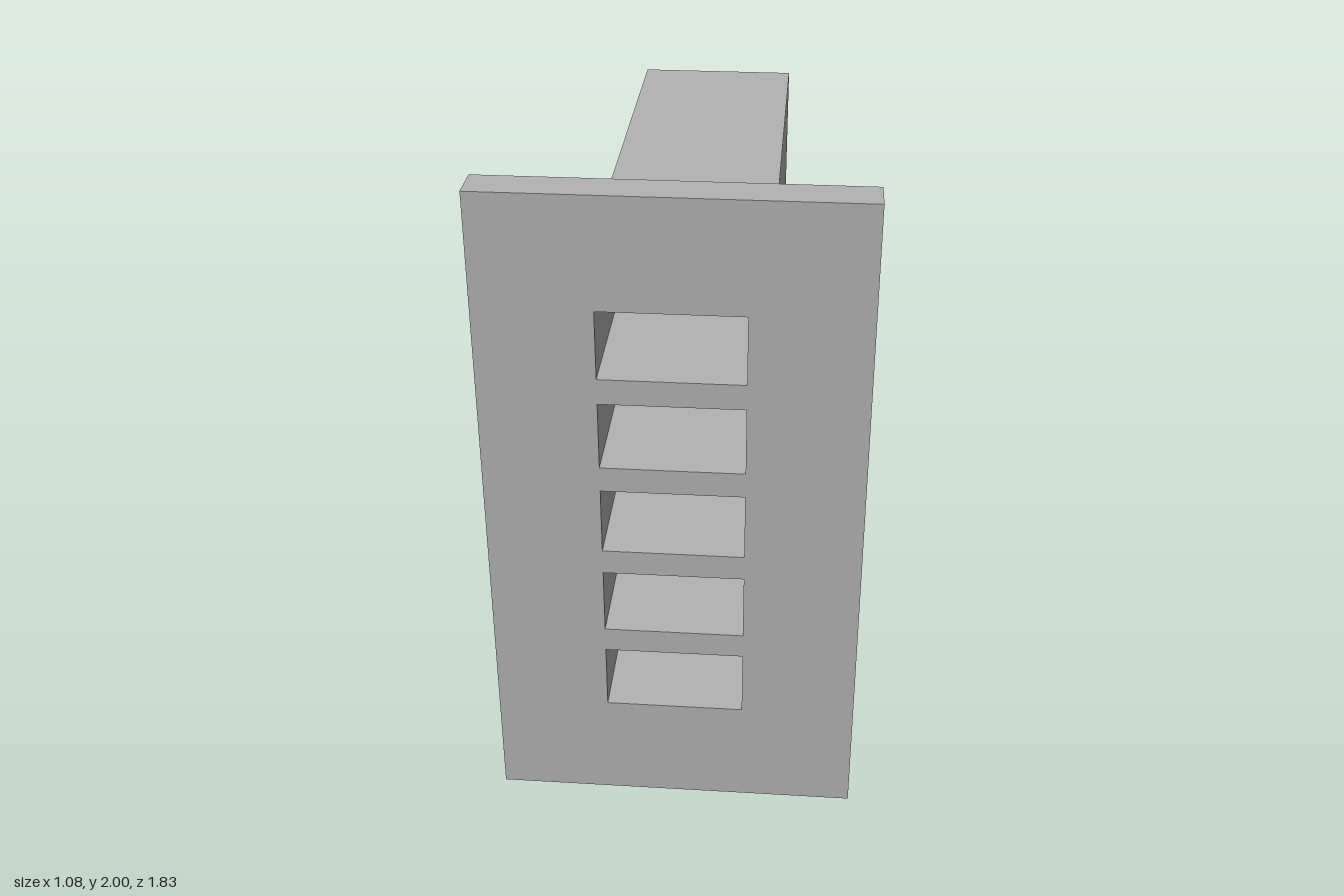
import * as THREE from 'three';

const SLOT_W = 0.407, SLOT_H = 0.205, SLOT_PITCH = 0.282, SLOT_COUNT = 5, MID_Y = 1.003;

// Rectangle outline, counter-clockwise, centred on (cx, cy)
function rectPoints(cx, cy, w, h) {
  return [[-1, -1], [1, -1], [1, 1], [-1, 1]].map(
    ([sx, sy]) => new THREE.Vector2(cx + sx * w / 2, cy + sy * h / 2));
}

// Slab pierced by the column of slots, running from z0 to z1
function slottedSlab(cx, cy, w, h, z0, z1) {
  const shape = new THREE.Shape(rectPoints(cx, cy, w, h));
  for (let i = 0; i < SLOT_COUNT; i++) {
    const y = MID_Y + (i - (SLOT_COUNT - 1) / 2) * SLOT_PITCH;
    shape.holes.push(new THREE.Path(rectPoints(-0.001, y, SLOT_W, SLOT_H).reverse()));
  }
  const geometry = new THREE.ExtrudeGeometry(shape, { depth: z1 - z0, bevelEnabled: false });
  return geometry.translate(0, 0, z0);
}

export function createModel() {
  const model = new THREE.Group();
  model.name = 'slottedHousing';
  const grey = new THREE.MeshStandardMaterial({ color: 0xb3b3b3 });
  grey.name = 'grey';

  const add = (name, geometry) => {
    const mesh = new THREE.Mesh(geometry, grey);
    mesh.name = name;
    model.add(mesh);
  };

  // Wide front plate with five openings
  add('facePlate', slottedSlab(0, 1, 1.075, 2, 0.802, 0.915));
  // Narrow deep body, the slots continue through it
  add('body', slottedSlab(-0.001, MID_Y, 0.512, 1.436, -0.863, 0.802));
  // Solid rear wall closing the slots
  add('rearWall', new THREE.BoxGeometry(0.512, 1.436, 0.052).translate(-0.001, MID_Y, -0.889));

  return model;
}
